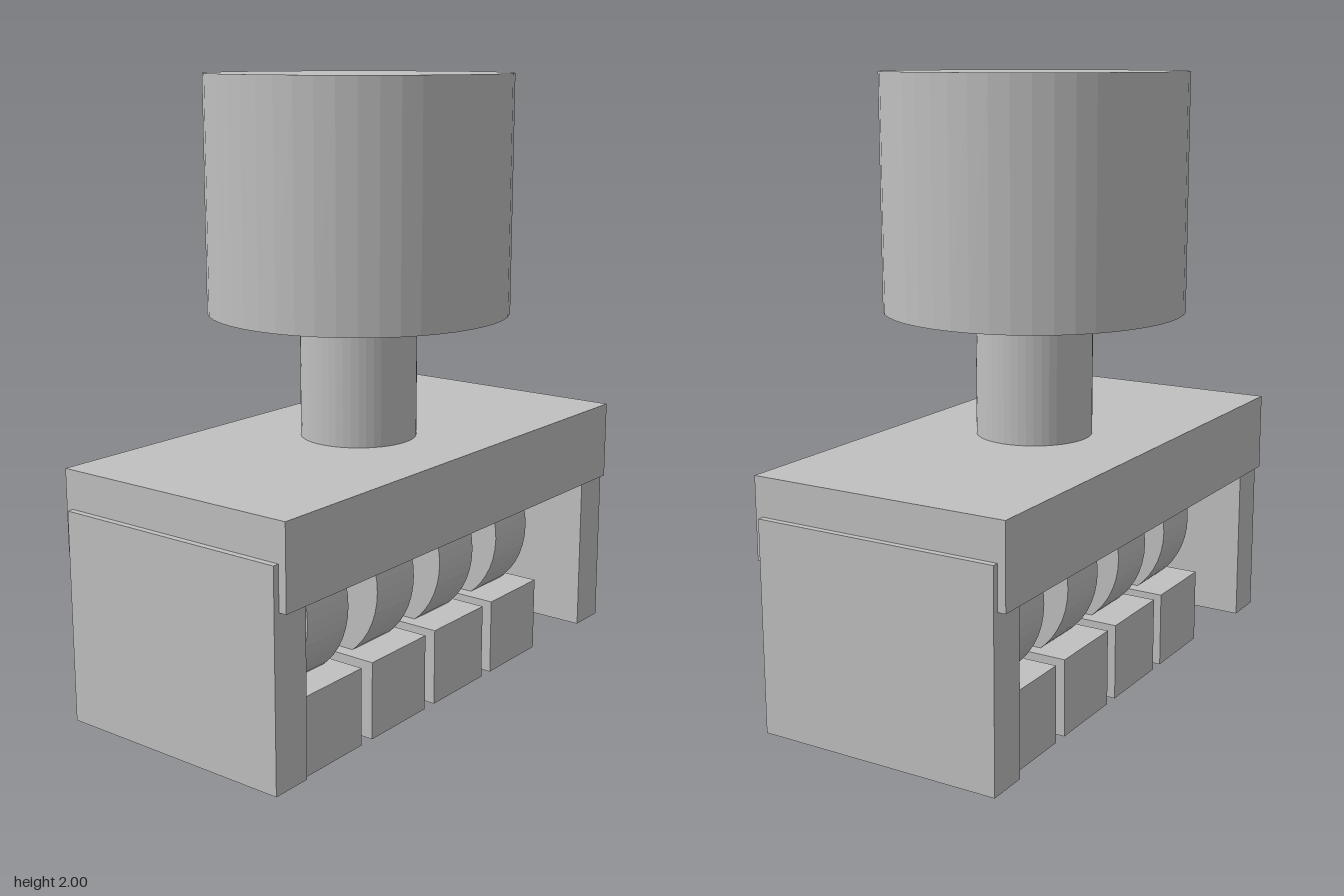
import * as THREE from 'three';

export function createModel() {
  const grey = new THREE.MeshStandardMaterial({ color: 0xc0c0c0, flatShading: true });
  grey.name = 'light grey';
  const model = new THREE.Group();
  model.name = 'pushHandleRoller';

  const add = (parent, name, geometry, x, y, z) => {
    const mesh = new THREE.Mesh(geometry, grey);
    mesh.name = name;
    mesh.position.set(x, y, z);
    parent.add(mesh);
    return mesh;
  };
  // Box given by its bottom and top heights
  const box = (parent, name, w, y0, y1, d, x = 0, z = 0) =>
    add(parent, name, new THREE.BoxGeometry(w, y1 - y0, d), x, (y0 + y1) / 2, z);
  // Upright cylinder given by its bottom and top heights
  const post = (name, r, y0, y1) =>
    add(model, name, new THREE.CylinderGeometry(r, r, y1 - y0, 48), 0, (y0 + y1) / 2, 0);

  // Knob, stem and top plate
  post('knob', 0.47, 1.275, 2);
  post('stem', 0.183, 0.88, 1.275);
  box(model, 'topPlate', 1.7, 0.625, 0.88, 0.84);

  // End walls
  for (const side of [-1, 1]) {
    box(model, side > 0 ? 'leftWall' : 'rightWall', 0.13, 0.105, 0.76, 0.79, side * 0.805);
  }

  // Four rollers, each above a block with three studs underneath
  for (const x of [-0.49, -0.163, 0.163, 0.49]) {
    const unit = new THREE.Group();
    unit.name = 'rollerUnit';
    unit.position.x = x;
    model.add(unit);
    const roller = add(unit, 'roller', new THREE.CylinderGeometry(0.27, 0.27, 0.187, 48), 0, 0.48, 0);
    roller.rotation.z = Math.PI / 2;
    box(unit, 'block', 0.275, 0.027, 0.275, 0.57);
    for (const z of [-0.15, 0, 0.15]) box(unit, 'stud', 0.125, 0, 0.03, 0.034, 0, z);
  }
  return model;
}
